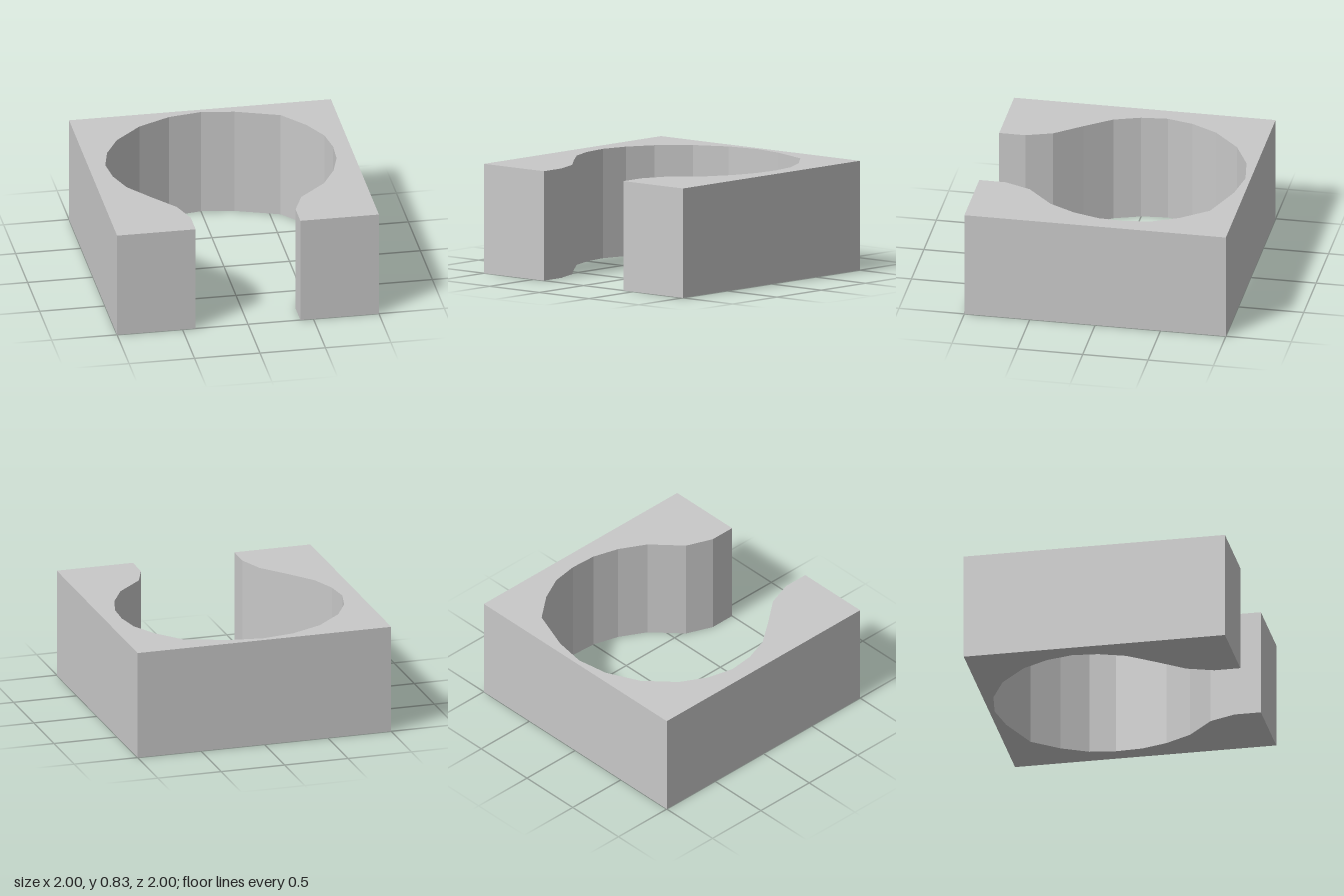
import * as THREE from 'three';

export function createModel() {
  const group = new THREE.Group();
  const grey = new THREE.MeshStandardMaterial({ color: 0xc8c8c8 });
  grey.name = 'light grey';

  // Keyhole-shaped opening as [x, z], from the left of the mouth round the back
  const opening = [
    [-0.4, 1], [-0.4, 0.8], [-0.47, 0.6], [-0.63, 0.4], [-0.78, 0.2], [-0.85, 0],
    [-0.87, -0.2], [-0.82, -0.4], [-0.71, -0.6], [-0.5, -0.8], [-0.25, -0.92], [0, -0.96],
    [0.25, -0.92], [0.58, -0.8], [0.74, -0.6], [0.84, -0.4], [0.87, -0.2],
    [0.86, 0], [0.8, 0.2], [0.69, 0.4], [0.48, 0.6], [0.4, 0.8], [0.4, 1],
  ];
  // Square block outline closing around the opening
  const corners = [[1, 1], [1, -1], [-1, -1], [-1, 1]];
  const shape = new THREE.Shape(
    [...opening, ...corners].map(([x, z]) => new THREE.Vector2(x, -z))
  );

  // Extrude upwards from the ground
  const geometry = new THREE.ExtrudeGeometry(shape, { depth: 0.83, bevelEnabled: false });
  geometry.rotateX(-Math.PI / 2);

  const block = new THREE.Mesh(geometry, grey);
  block.name = 'openBlock';
  group.add(block);
  return group;
}
